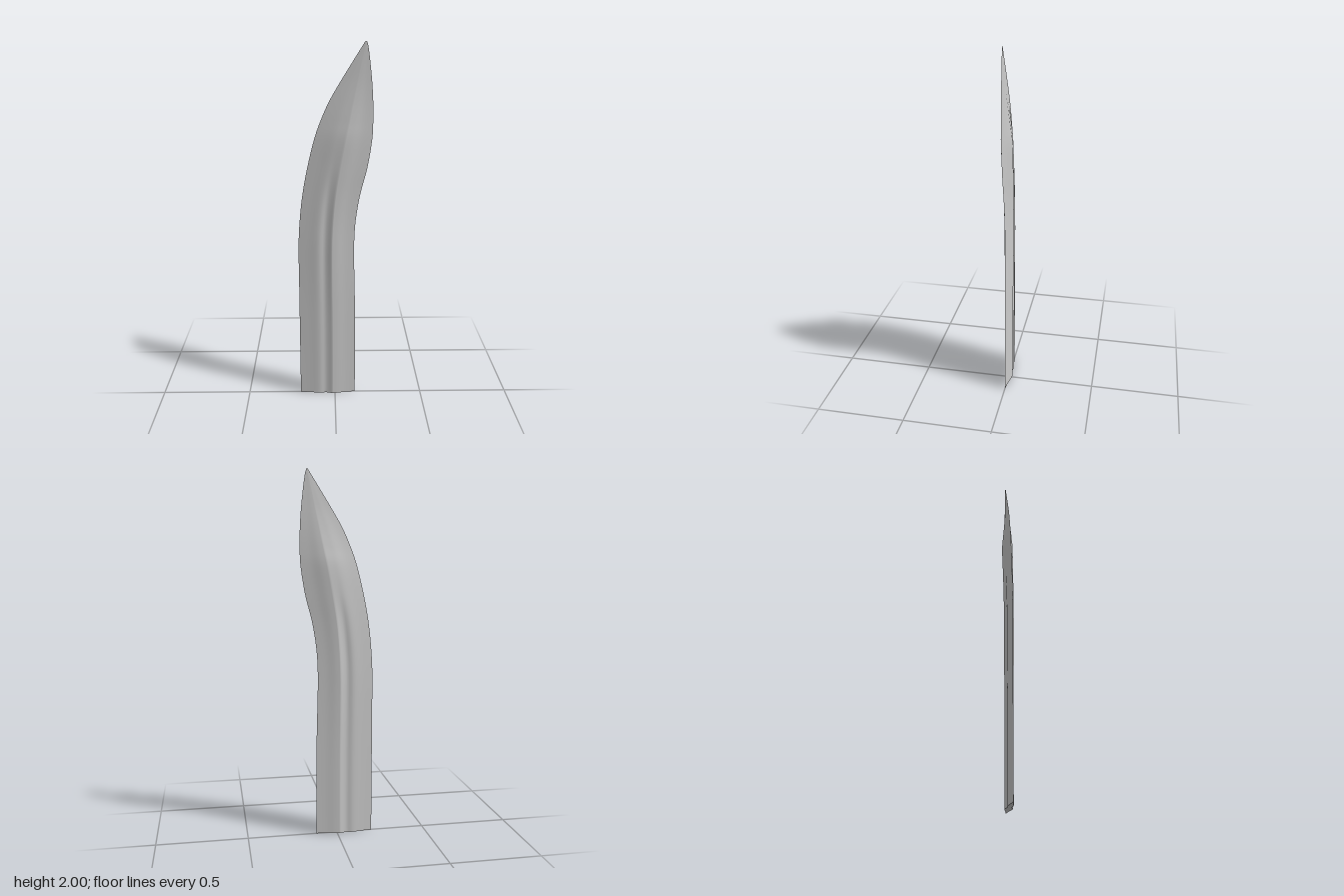
import * as THREE from 'three';

// Stations up the blade: [y, back edge x, cutting edge x, ridge x, half thickness, groove strength]
const stations = [
  [0, -0.2, 0.116, -0.015, 0.021, 1],
  [0.25, -0.2, 0.116, -0.015, 0.0215, 1],
  [0.5, -0.2, 0.114, -0.016, 0.022, 1],
  [0.7, -0.2, 0.109, -0.018, 0.024, 1],
  [0.9, -0.2, 0.105, -0.018, 0.026, 1],
  [1.05, -0.192, 0.112, -0.012, 0.026, 1],
  [1.2, -0.175, 0.135, 0.002, 0.027, 0.7],
  [1.35, -0.147, 0.172, 0.026, 0.029, 0.15],
  [1.5, -0.11, 0.195, 0.054, 0.030, 0],
  [1.6, -0.075, 0.199, 0.075, 0.022, 0],
  [1.7, -0.03, 0.197, 0.095, 0.013, 0],
  [1.8, 0.028, 0.19, 0.116, 0.006, 0],
  [1.9, 0.09, 0.179, 0.136, 0.0025, 0],
  [1.97, 0.134, 0.169, 0.152, 0.001, 0],
  [2, 0.153, 0.161, 0.157, 0.0005, 0],
];
const ROWS = 84, SIDE = 14;
const spline = (pts) => new THREE.SplineCurve(pts.map(([x, y]) => new THREE.Vector2(x, y)));

// All station values share one parameter, so each is smoothed the same way
const channels = stations[0].map((_, c) => spline(stations.map((s, i) => [i, s[c]])));
const stationAt = (t) => channels.map((curve) => curve.getPoint(t).y);

// Half cross-section from back edge, over shoulder, groove and ridge, to cutting edge
function section(t) {
  const [y, back, edge, ridge, thick, groove] = stationAt(t);
  const rear = spline([[0, 0], [0.3, 0.33], [0.6, 0.7], [0.8, 0.86 - 0.36 * groove], [1, 1]]);
  const fore = spline([[0, 1], [0.25, 0.78], [0.6, 0.35], [1, 0]]);
  const points = [];
  for (let i = 0; i <= 2 * SIDE; i++) {
    const onRear = i <= SIDE;
    const p = onRear ? rear.getPoint(i / SIDE) : fore.getPoint(i / SIDE - 1);
    const x = onRear ? THREE.MathUtils.lerp(back, ridge, p.x) : THREE.MathUtils.lerp(ridge, edge, p.x);
    points.push(new THREE.Vector3(x, y, thick * Math.max(0, p.y)));
  }
  return points;
}

// One face of the blade; dir is +1 for the front and -1 for the back
function bladeFace(dir) {
  const positions = [], indices = [], n = 2 * SIDE + 1;
  for (let r = 0; r <= ROWS; r++) {
    for (const p of section(r / ROWS)) positions.push(p.x, p.y, dir * p.z);
  }
  for (let r = 0; r < ROWS; r++) {
    for (let i = 0; i < n - 1; i++) {
      const a = r * n + i, b = a + 1, c = a + n, d = c + 1;
      if (dir > 0) indices.push(a, b, d, a, d, c);
      else indices.push(a, d, b, a, c, d);
    }
  }
  const geometry = new THREE.BufferGeometry();
  geometry.setAttribute('position', new THREE.Float32BufferAttribute(positions, 3));
  geometry.setIndex(indices);
  geometry.computeVertexNormals();
  return geometry;
}

// Flat end closing the foot of the blade
function baseCap() {
  const half = section(0);
  const outline = [
    ...half.map((p) => new THREE.Vector2(p.x, p.z)),
    ...half.slice(1, -1).reverse().map((p) => new THREE.Vector2(p.x, -p.z)),
  ];
  return new THREE.ShapeGeometry(new THREE.Shape(outline)).rotateX(Math.PI / 2);
}

export function createModel() {
  const group = new THREE.Group();
  group.name = 'blade';
  const material = new THREE.MeshStandardMaterial({ color: 0xcccccc, side: THREE.DoubleSide });
  const add = (name, geometry) => {
    const mesh = new THREE.Mesh(geometry, material);
    mesh.name = name;
    group.add(mesh);
  };
  add('bladeFront', bladeFace(1));
  add('bladeBack', bladeFace(-1));
  add('bladeBase', baseCap());
  return group;
}
